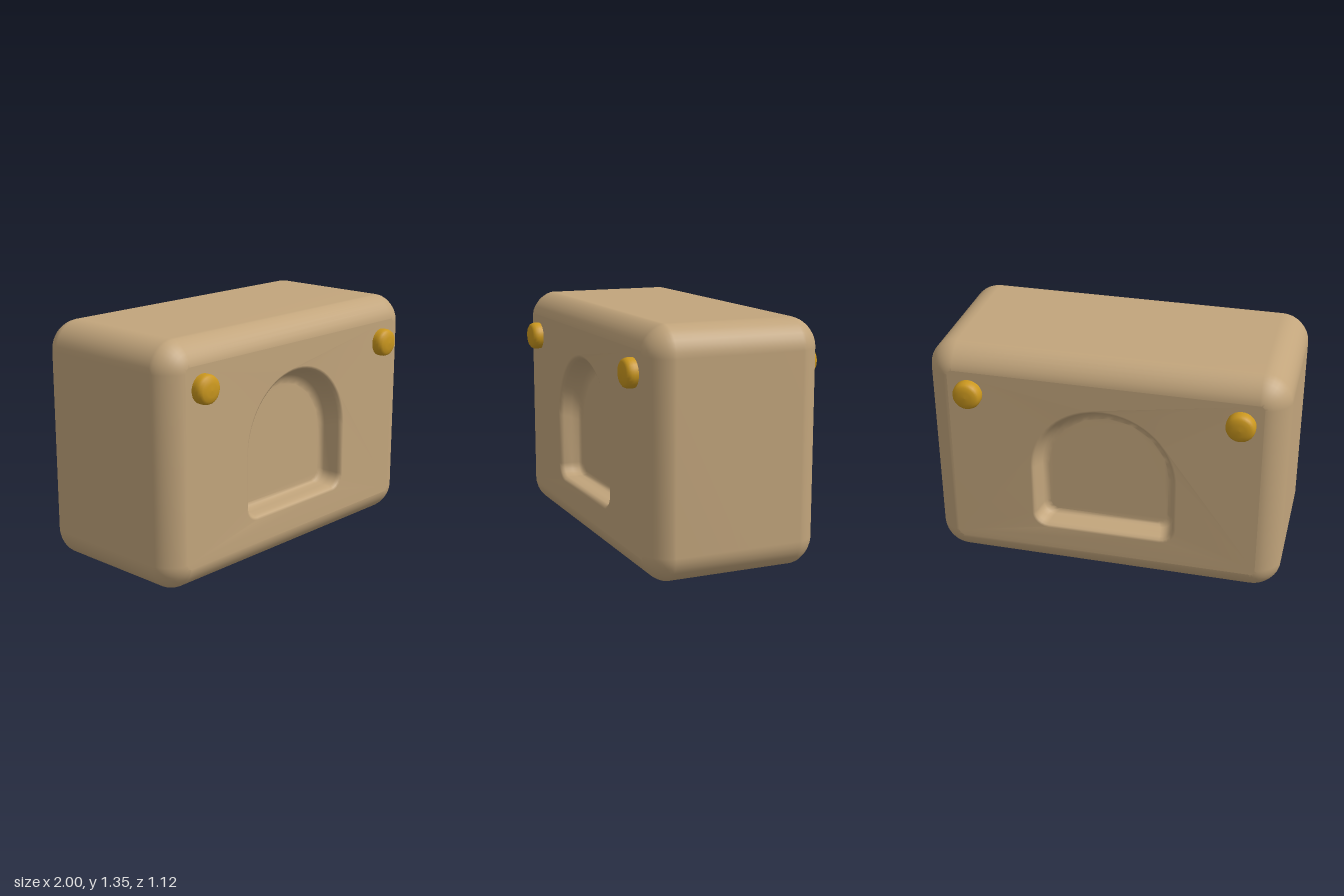
import * as THREE from 'three';
import { mergeGeometries, mergeVertices } from 'three/addons/utils/BufferGeometryUtils.js';

const HEIGHT = 1.345, DEPTH = 0.49, MID = HEIGHT / 2, EDGE = 0.13;

// Points on an arc, counter-clockwise
function arc(cx, cy, r, from, to, steps) {
  return Array.from({ length: steps + 1 }, (_, i) => {
    const a = from + (to - from) * i / steps;
    return new THREE.Vector2(cx + r * Math.cos(a), cy + r * Math.sin(a));
  });
}

// Rounded rectangle of the block, shrunk by an inset
function blockOutline(inset) {
  const r = 0.16 - inset, x = 1 - inset - r, y = MID - inset - r, q = Math.PI / 2;
  return [[x, y], [-x, y], [-x, -y], [x, -y]].flatMap(([cx, cy], k) =>
    arc(cx, cy + MID, r, k * q, (k + 1) * q, 8));
}

// Arched niche outline with rounded lower corners
function archOutline(half, bottom, top, corner) {
  const q = Math.PI / 2;
  return [
    ...arc(0, top - half, half, 0, Math.PI, 32),
    ...arc(-half + corner, bottom + corner, corner, Math.PI, 3 * q, 6),
    ...arc(half - corner, bottom + corner, corner, 3 * q, 4 * q, 6),
  ];
}

// Skin between rings of equal point count
function loft(rings) {
  const n = rings[0].points.length, pos = [], index = [];
  for (const { points, z } of rings) for (const p of points) pos.push(p.x, p.y, z);
  for (let i = 0; i < rings.length - 1; i++) {
    for (let j = 0; j < n; j++) {
      const a = i * n + j, b = i * n + (j + 1) % n;
      index.push(a, b, b + n, a, b + n, a + n);
    }
  }
  const g = new THREE.BufferGeometry();
  g.setAttribute('position', new THREE.Float32BufferAttribute(pos, 3));
  g.setIndex(index);
  return g;
}

function flatFace(points, z, hole) {
  const shape = new THREE.Shape(points);
  if (hole) shape.holes.push(new THREE.Path(hole));
  const g = new THREE.ShapeGeometry(shape).translate(0, 0, z);
  g.deleteAttribute('uv');
  g.deleteAttribute('normal');
  return g;
}

// Front half of the block with its niche
function halfBlock() {
  const rings = [{ points: blockOutline(0), z: 0 }];
  for (let i = 0; i <= 8; i++) {
    const a = i / 8 * Math.PI / 2, e = 1.2;
    rings.push({
      points: blockOutline(EDGE * (1 - Math.pow(Math.cos(a), e))),
      z: DEPTH - EDGE + EDGE * Math.pow(Math.sin(a), e),
    });
  }
  const niche = [
    [0.415, 0.265, 1.07, 0.09, 0],
    [0.402, 0.278, 1.056, 0.08, 0.006],
    [0.392, 0.288, 1.045, 0.07, 0.025],
    [0.386, 0.29, 1.025, 0.07, 0.07],
    [0.378, 0.292, 1.0, 0.07, 0.11],
    [0.365, 0.3, 0.975, 0.07, 0.128],
    [0.345, 0.315, 0.95, 0.06, 0.132],
  ].map(([half, bottom, top, corner, d]) => ({ points: archOutline(half, bottom, top, corner), z: DEPTH - d }));
  const last = niche[niche.length - 1];
  return mergeGeometries([
    loft(rings),
    flatFace(rings[rings.length - 1].points, DEPTH, niche[0].points),
    loft(niche),
    flatFace(last.points, last.z),
  ]);
}

export function createModel() {
  const group = new THREE.Group();
  const tan = new THREE.MeshStandardMaterial({ color: 0xc2a57c });
  tan.name = 'tan';
  const gold = new THREE.MeshStandardMaterial({ color: 0xca971e });
  gold.name = 'gold';

  // Block: two identical halves, smoothed together
  const front = halfBlock();
  const back = front.clone().rotateY(Math.PI);
  const body = mergeVertices(mergeGeometries([front, back]), 1e-4);
  body.computeVertexNormals();
  const block = new THREE.Mesh(body, tan);
  block.name = 'block';
  group.add(block);

  // Rounded studs in the upper corners of both faces
  const profile = [[0.078, -0.03], [0.08, 0.02], [0.079, 0.036], [0.073, 0.051], [0.06, 0.061], [0.035, 0.067], [0, 0.069]]
    .map(([x, y]) => new THREE.Vector2(x, y));
  const studGeometry = new THREE.LatheGeometry(profile, 28).rotateX(Math.PI / 2);
  for (const side of [1, -1]) {
    for (const x of [-0.75, 0.75]) {
      const stud = new THREE.Mesh(studGeometry, gold);
      stud.name = (side > 0 ? 'front' : 'back') + (x > 0 ? 'Left' : 'Right') + 'Stud';
      stud.position.set(x, 1.09, side * DEPTH);
      if (side < 0) stud.rotation.y = Math.PI;
      group.add(stud);
    }
  }
  return group;
}
